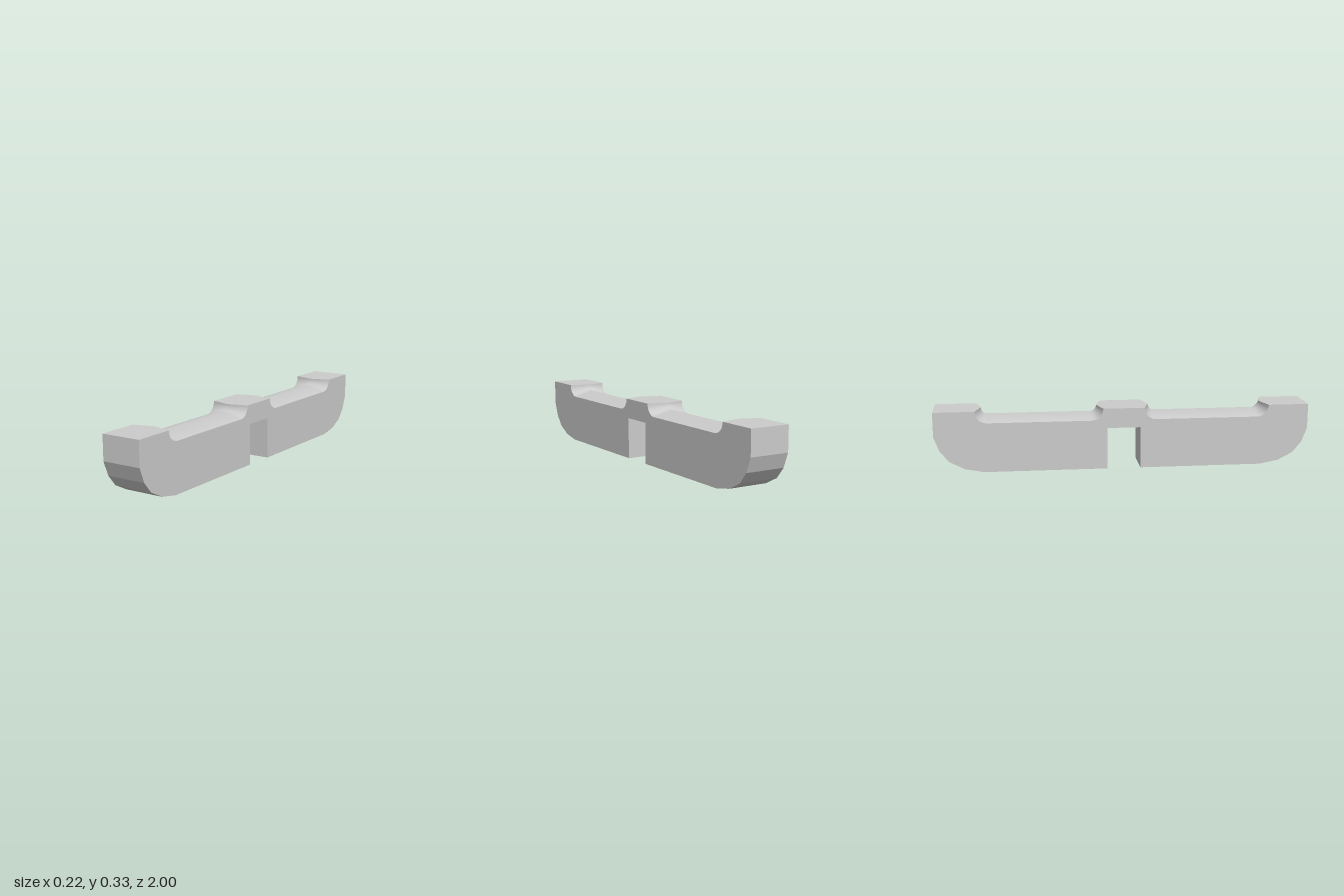
import * as THREE from 'three';

const HALF_W = 0.108, TOP = 0.327, ARC = 8;
const EDGE_R = 0.063, RIDGE_R = 0.033; // scoop depth at the sides and along the middle
const FRONT = 0.72, BACK = 0.173;      // arc centres of the front scoop
const SHIFT = FRONT + BACK;            // offset from front scoop to rear scoop

// Scoop profile in (z, y), running from front to back
function scoop(r, offset) {
  const pts = [];
  for (let i = 0; i <= ARC; i++) {
    const a = (i / ARC) * Math.PI / 2;
    pts.push([FRONT + offset + r * Math.cos(a), TOP - r * Math.sin(a)]);
  }
  for (let i = 0; i <= ARC; i++) {
    const a = (i / ARC) * Math.PI / 2;
    pts.push([BACK + offset - r * Math.sin(a), TOP - r * Math.cos(a)]);
  }
  return pts;
}

// Skin across the width: edge profile at both sides, middle profile at x = 0
function loft(edge, middle, smooth) {
  const pos = [], index = [];
  edge.forEach(([z, y], i) => {
    const [mz, my] = middle[i];
    pos.push(-HALF_W, y, z, 0, my, mz, HALF_W, y, z);
    if (i === edge.length - 1) return;
    for (let c = 0; c < 2; c++) {
      const a = i * 3 + c, b = a + 1, d = a + 3, e = a + 4;
      // mirrored diagonals keep both halves symmetric
      if (c === 0) index.push(a, b, d, b, e, d);
      else index.push(a, b, e, a, e, d);
    }
  });
  let geo = new THREE.BufferGeometry();
  geo.setAttribute('position', new THREE.Float32BufferAttribute(pos, 3));
  geo.setIndex(index);
  if (!smooth) geo = geo.toNonIndexed();
  geo.computeVertexNormals();
  return geo;
}

export function createModel() {
  const group = new THREE.Group();
  const material = new THREE.MeshStandardMaterial({ color: 0xcccccc });
  const add = (name, geo) => {
    const mesh = new THREE.Mesh(geo, material);
    mesh.name = name;
    group.add(mesh);
  };

  // Rounded ends, underside and central slot
  const heel = [[1, TOP], [1, 0.195], [0.97, 0.118], [0.922, 0.06], [0.842, 0.019], [0.74, 0], [0.088, 0], [0.088, 0.222]];
  const under = [...heel.map(([z, y]) => [-z, y]), ...heel.slice().reverse()];
  add('underside', loft(under, under, false));

  // Ridged scoops in the top
  const edges = [scoop(EDGE_R, 0), scoop(EDGE_R, -SHIFT)];
  const ridges = [scoop(RIDGE_R, 0), scoop(RIDGE_R, -SHIFT)];
  add('frontScoop', loft(edges[0], ridges[0], true));
  add('rearScoop', loft(edges[1], ridges[1], true));

  // Flat pads between the scoops
  const pad = (from, to) => [from ? from.at(-1) : [1, TOP], to ? to[0] : [-1, TOP]];
  add('frontPad', loft(pad(null, edges[0]), pad(null, ridges[0]), false));
  add('middlePad', loft(pad(edges[0], edges[1]), pad(ridges[0], ridges[1]), false));
  add('rearPad', loft(pad(edges[1], null), pad(ridges[1], null), false));

  // Flat side faces
  const outline = [...edges[0], ...edges[1], ...under].map(([z, y]) => new THREE.Vector2(z, y));
  for (const s of [-1, 1]) {
    const side = new THREE.ShapeGeometry(new THREE.Shape(outline));
    side.rotateY(s * Math.PI / 2).translate(s * HALF_W, 0, 0);
    add(s > 0 ? 'leftSide' : 'rightSide', side);
  }
  return group;
}
